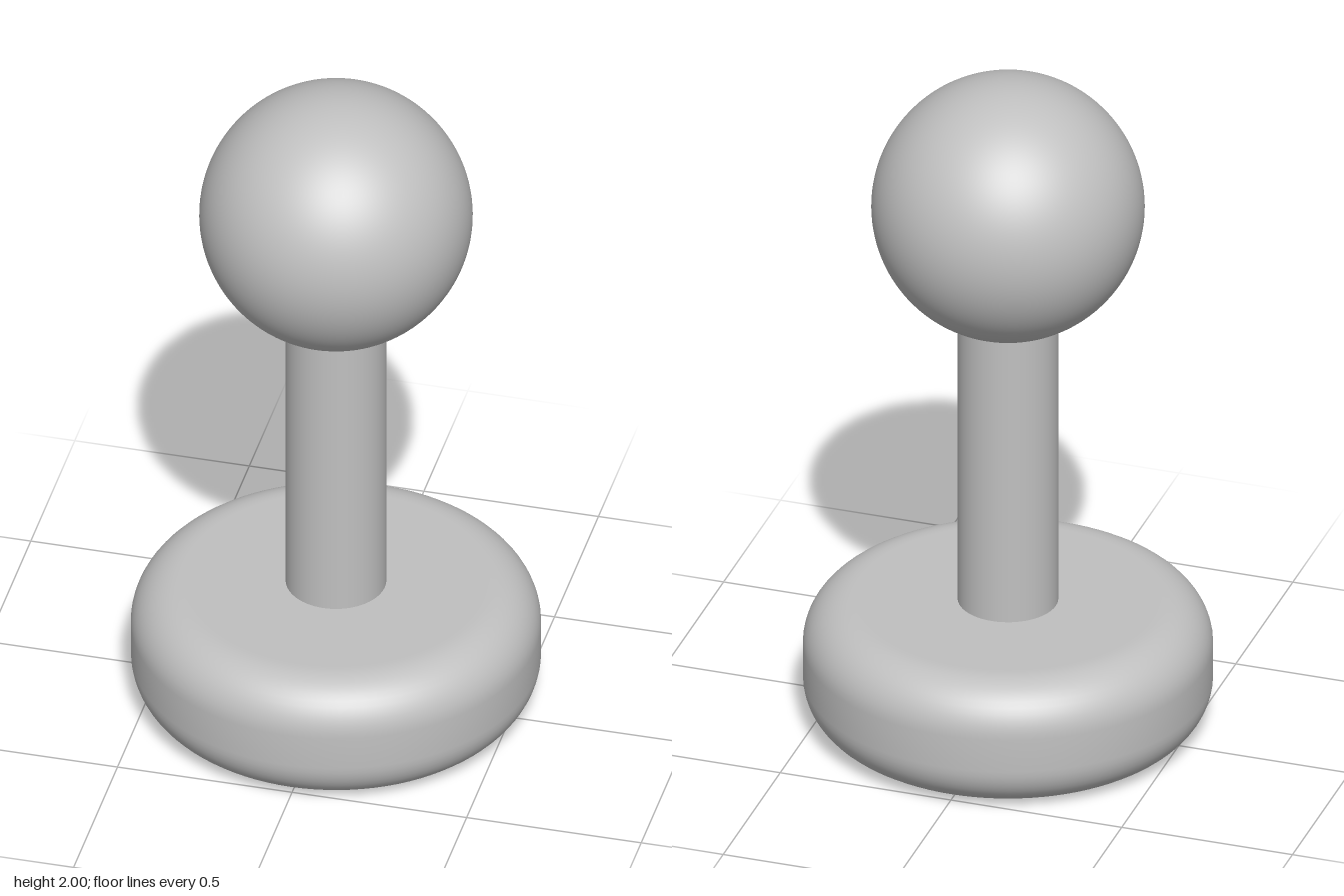
import * as THREE from 'three';
import { toCreasedNormals } from 'three/addons/utils/BufferGeometryUtils.js';

export function createModel() {
  const group = new THREE.Group();
  const grey = new THREE.MeshStandardMaterial({ color: 0xc0c0c0 });
  grey.name = 'grey';

  const add = (name, geometry, y = 0) => {
    const mesh = new THREE.Mesh(geometry, grey);
    mesh.name = name;
    mesh.position.y = y;
    group.add(mesh);
  };

  // Base: a disc with rounded rims and a round blind recess underneath
  const radius = 0.57, height = 0.38, fillet = 0.14, recess = 0.3, depth = 0.21;
  const flat = radius - fillet;
  const profile = [[0, depth], [recess, depth], [recess, 0], [flat - 0.01, 0]];
  const arc = (cy, start) => {
    for (let i = 0; i <= 12; i++) {
      const a = start + (i / 12) * Math.PI / 2;
      profile.push([flat + fillet * Math.cos(a), cy + fillet * Math.sin(a)]);
    }
  };
  arc(fillet, -Math.PI / 2);
  arc(height - fillet, 0);
  profile.push([flat - 0.01, height], [0, height]);
  const lathe = new THREE.LatheGeometry(profile.map(([x, y]) => new THREE.Vector2(x, y)), 96);
  add('base', toCreasedNormals(lathe, Math.PI / 6));

  // Stem: runs from the base into the ball
  const stemTop = 1.3;
  add('stem', new THREE.CylinderGeometry(0.14, 0.14, stemTop - height, 64), (stemTop + height) / 2);

  // Ball knob
  add('ball', new THREE.SphereGeometry(0.38, 96, 64), 1.62);

  return group;
}
